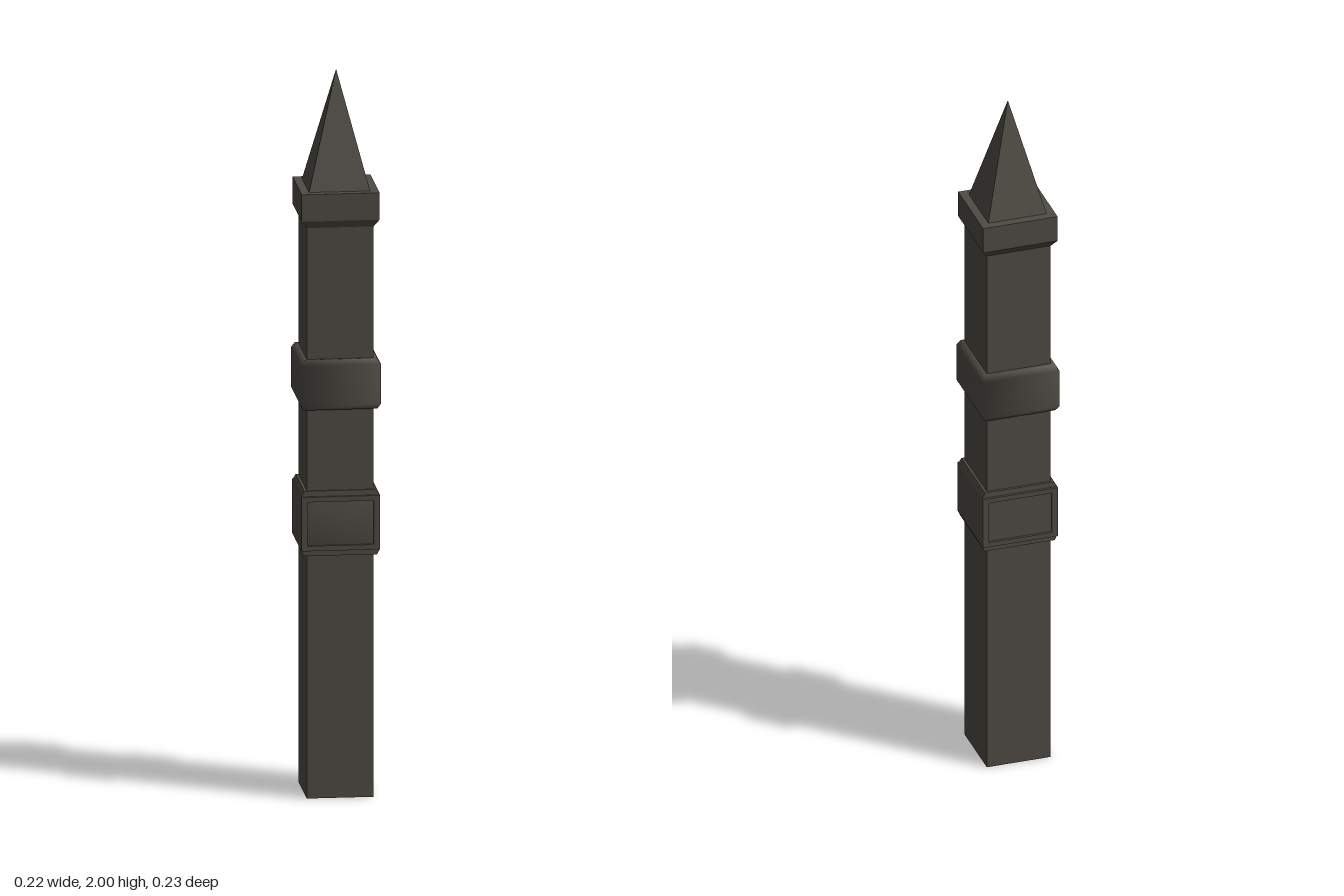
import * as THREE from 'three';

const stone = new THREE.MeshStandardMaterial({ color: 0x4f4b44, side: THREE.DoubleSide });
stone.name = 'darkStone';

// Rectangular loft; each ring is [y, halfWidth, frontZ, backZ]
function loft(name, rings, smooth = false) {
  const pos = [], index = [];
  for (const [y, hx, zf, zb] of rings) {
    pos.push(-hx, y, zf, hx, y, zf, hx, y, zb, -hx, y, zb);
  }
  for (let r = 0; r < rings.length - 1; r++) {
    for (let i = 0; i < 4; i++) {
      const a = r * 4 + i, b = r * 4 + (i + 1) % 4;
      index.push(a, b, b + 4, a, b + 4, a + 4);
    }
  }
  return makeMesh(name, pos, index, smooth);
}

function makeMesh(name, pos, index, smooth) {
  let geo = new THREE.BufferGeometry();
  geo.setAttribute('position', new THREE.Float32BufferAttribute(pos, 3));
  geo.setIndex(index);
  if (!smooth) geo = geo.toNonIndexed();
  geo.computeVertexNormals();
  const mesh = new THREE.Mesh(geo, stone);
  mesh.name = name;
  return mesh;
}

// Raised rectangular border around a sunken panel
function panelFrame(name, z) {
  const shape = new THREE.Shape();
  shape.moveTo(-0.107, 0.69).lineTo(0.107, 0.69).lineTo(0.107, 0.84).lineTo(-0.107, 0.84).closePath();
  const hole = new THREE.Path();
  hole.moveTo(-0.09, 0.704).lineTo(-0.09, 0.826).lineTo(0.09, 0.826).lineTo(0.09, 0.704).closePath();
  shape.holes.push(hole);
  const geo = new THREE.ExtrudeGeometry(shape, { depth: 0.007, bevelEnabled: false });
  const mesh = new THREE.Mesh(geo, stone);
  mesh.name = name;
  mesh.position.z = z;
  return mesh;
}

export function createModel() {
  const group = new THREE.Group();
  group.name = 'spikedPost';

  // Square shaft, open underneath
  group.add(loft('shaft', [[0, 0.091, 0.095, -0.097], [1.62, 0.091, 0.095, -0.097]]));

  // Lower band with sunken panels front and back
  group.add(loft('lowerBand', [
    [0.675, 0.091, 0.095, -0.097], [0.675, 0.1, 0.101, -0.105],
    [0.69, 0.107, 0.101, -0.105], [0.84, 0.107, 0.101, -0.105],
    [0.855, 0.098, 0.1, -0.104], [0.855, 0.091, 0.095, -0.097],
  ]));
  group.add(panelFrame('frontPanelFrame', 0.101));
  group.add(panelFrame('backPanelFrame', -0.112));

  // Softly shaded boss filling the front panel
  group.add(makeMesh('frontBoss', [
    -0.09, 0.704, 0.101, 0.09, 0.704, 0.101, 0.09, 0.826, 0.101, -0.09, 0.826, 0.101, 0, 0.76, 0.117,
  ], [0, 1, 4, 1, 2, 4, 2, 3, 4, 3, 0, 4], true));

  // Middle band with rounded shading
  group.add(loft('middleBand', [
    [1.08, 0.091, 0.095, -0.097], [1.08, 0.1, 0.102, -0.109],
    [1.095, 0.109, 0.109, -0.118], [1.205, 0.109, 0.109, -0.118],
    [1.22, 0.1, 0.102, -0.109], [1.22, 0.091, 0.095, -0.097],
  ], true));

  // Capital and its flat top
  group.add(loft('capital', [
    [1.585, 0.091, 0.095, -0.097], [1.605, 0.106, 0.104, -0.111],
    [1.68, 0.106, 0.104, -0.111], [1.68, 0.08, 0.077, -0.083],
  ]));

  // Pyramid spike
  group.add(loft('spike', [[1.68, 0.083, 0.08, -0.086], [2, 0.0005, -0.0025, -0.0035]]));

  return group;
}
